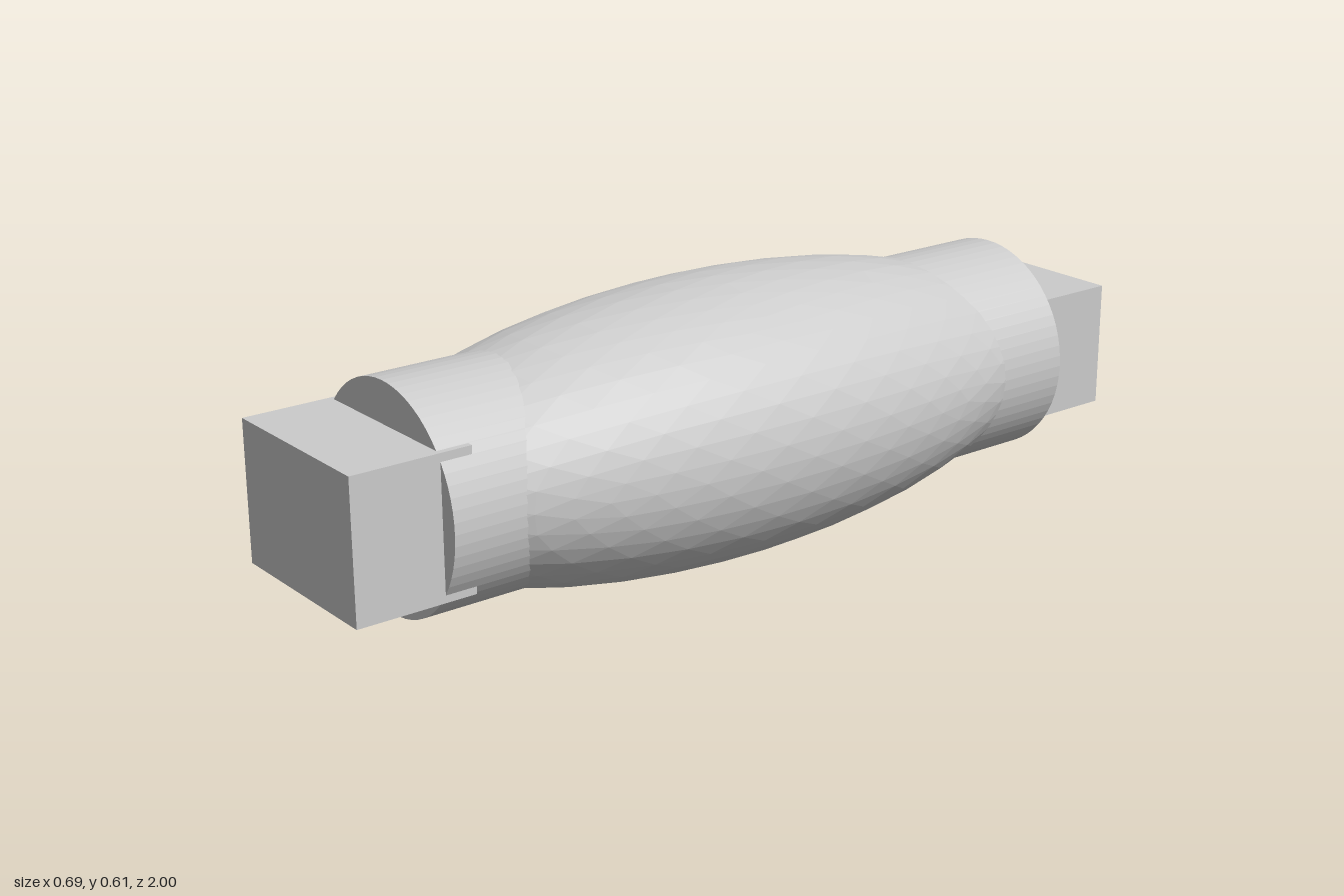
import * as THREE from 'three';

export function createModel() {
  const model = new THREE.Group();
  const material = new THREE.MeshStandardMaterial({ color: 0xcccccc, flatShading: true });
  const axisY = 0.305;

  const add = (name, geometry, x, y, z) => {
    const mesh = new THREE.Mesh(geometry, material);
    mesh.name = name;
    mesh.position.set(x, y, z);
    model.add(mesh);
  };

  // Box spanning zMin to zMax
  const block = (name, width, height, zMin, zMax, x, y) =>
    add(name, new THREE.BoxGeometry(width, height, zMax - zMin), x, y, (zMin + zMax) / 2);

  // Swollen grip, a faceted ellipsoid stretched along z
  const grip = new THREE.IcosahedronGeometry(1, 7);
  grip.scale(0.343, 0.304, 0.913);
  add('grip', grip, 0, axisY, 0);

  // Round shaft that emerges as a collar at each end
  const shaft = new THREE.CylinderGeometry(0.243, 0.243, 1.62, 64);
  shaft.rotateX(Math.PI / 2);
  add('shaft', shaft, 0, axisY, -0.005);

  // Square ends; the corners of the front one cut through the collar
  block('frontEnd', 0.404, 0.304, 0.735, 1, 0, 0.306);
  block('backEnd', 0.388, 0.281, -1, -0.74, -0.003, 0.308);

  return model;
}
